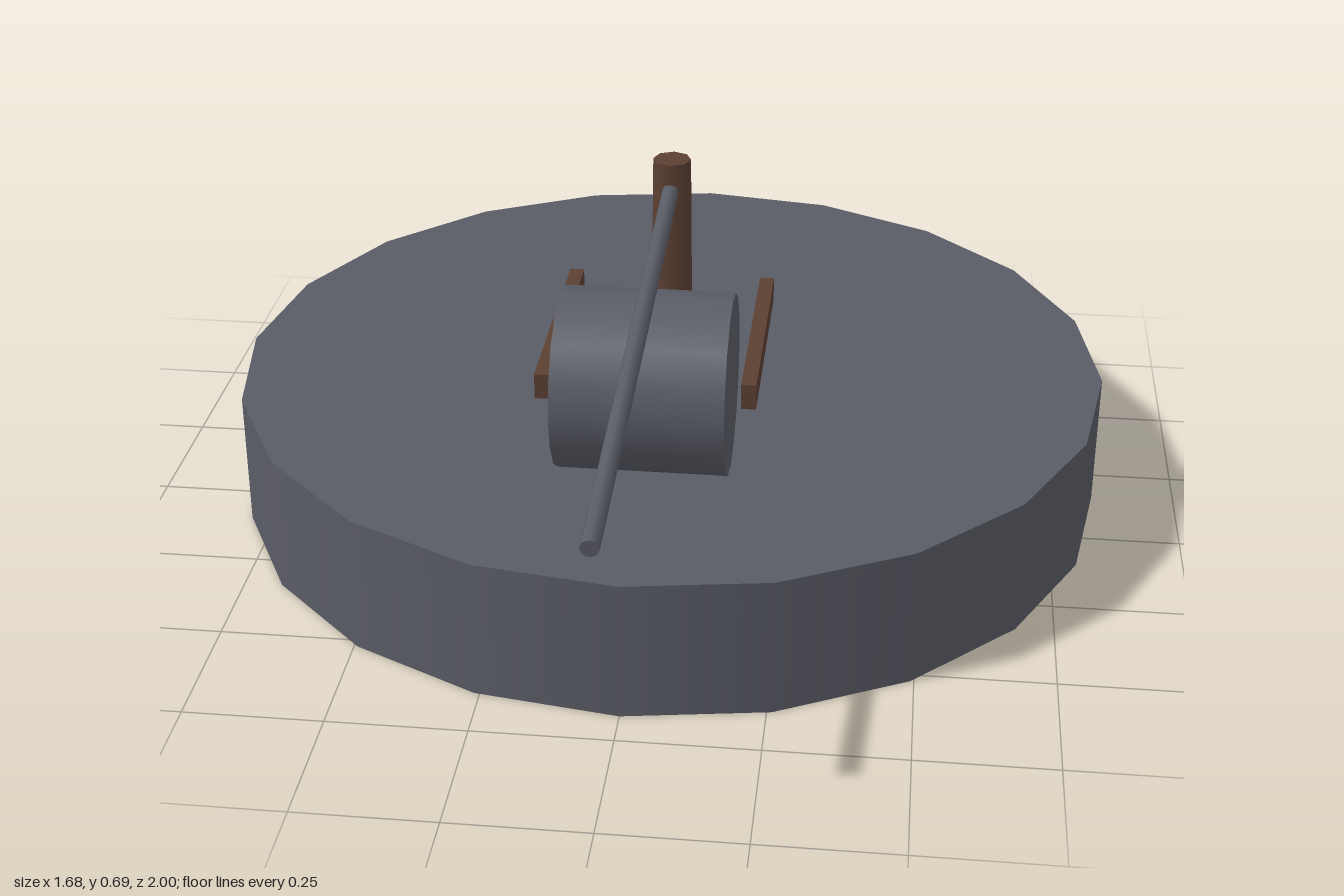
import * as THREE from 'three';

const metal = new THREE.MeshStandardMaterial({ name: 'slate grey', color: 0x5a5c66, side: THREE.DoubleSide });
const wood = new THREE.MeshStandardMaterial({ name: 'dark brown', color: 0x5c4033 });

export function createModel() {
  const model = new THREE.Group();
  model.name = 'millstone';

  const add = (name, geometry, material, x, y, z) => {
    const mesh = new THREE.Mesh(geometry, material);
    mesh.name = name;
    mesh.position.set(x, y, z);
    model.add(mesh);
    return mesh;
  };

  const axisZ = -0.16;
  const baseHeight = 0.262;

  // Round platform, open underneath
  add('platformWall', new THREE.CylinderGeometry(0.84, 0.84, baseHeight, 20, 1, true), metal, 0, baseHeight / 2, axisZ);
  add('platformTop', new THREE.CircleGeometry(0.84, 20).rotateX(-Math.PI / 2), metal, 0, baseHeight, axisZ);

  // Central post, slightly tapered
  add('post', new THREE.CylinderGeometry(0.036, 0.041, 0.426, 8), wood, 0, baseHeight + 0.213, axisZ);

  // Rolling stone lying on its side
  add('roller', new THREE.CylinderGeometry(0.164, 0.164, 0.306, 16).rotateZ(Math.PI / 2), metal, 0, 0.435, 0.265);

  // Frame arms either side of the roller
  for (const side of [-1, 1]) {
    add(side > 0 ? 'leftArm' : 'rightArm', new THREE.BoxGeometry(0.027, 0.048, 0.45), wood, side * 0.185, 0.426, 0.068);
  }

  // Long push pole from the post, sloping down to the front
  const start = new THREE.Vector3(0, 0.636, axisZ);
  const end = new THREE.Vector3(0, 0.53, 0.998);
  const dir = end.clone().sub(start);
  const mid = start.clone().add(end).multiplyScalar(0.5);
  const pole = add('pushPole', new THREE.CylinderGeometry(0.016, 0.016, dir.length(), 8), metal, mid.x, mid.y, mid.z);
  pole.quaternion.setFromUnitVectors(new THREE.Vector3(0, 1, 0), dir.normalize());

  return model;
}
